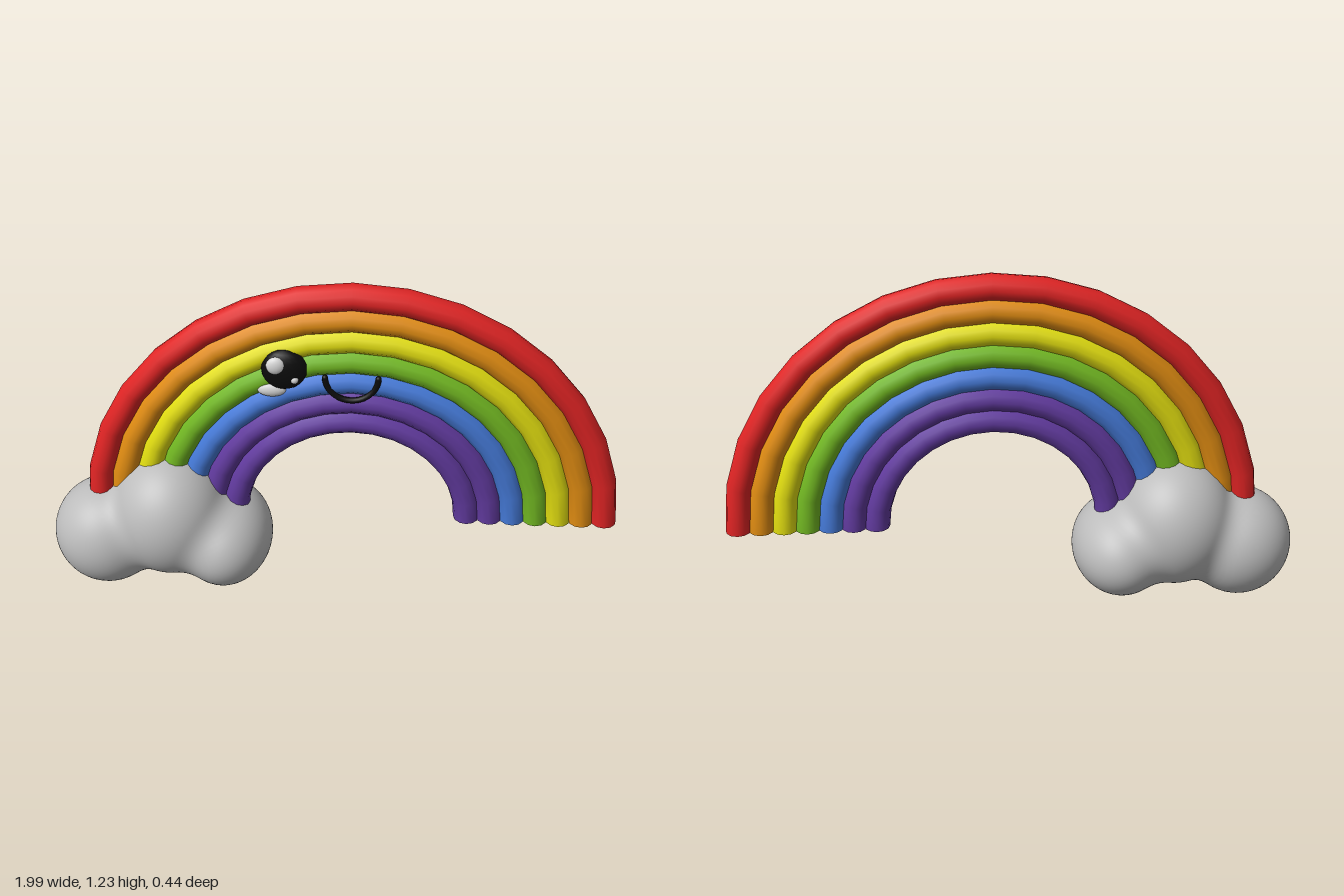
import * as THREE from 'three';
import { mergeVertices } from 'three/addons/utils/BufferGeometryUtils.js';

const ARC_X = 0.06, ARC_Y = 0.305, TUBE = 0.045;

function material(name, color) {
  const m = new THREE.MeshStandardMaterial({ color });
  m.name = name;
  return m;
}

function add(parent, name, geometry, mat, x = 0, y = 0, z = 0) {
  const mesh = new THREE.Mesh(geometry, mat);
  mesh.name = name;
  mesh.position.set(x, y, z);
  parent.add(mesh);
  return mesh;
}

// Flattened ball used for the face details
function ball(parent, name, mat, [x, y, z], [rx, ry, rz]) {
  const mesh = add(parent, name, new THREE.SphereGeometry(1, 18, 12), mat, x, y, z);
  mesh.scale.set(rx, ry, rz);
  return mesh;
}

// Three ellipsoid puffs melted into one smooth skin
function cloudGeometry() {
  const puffs = [
    { c: [-0.81, 0.2, 0], r: [0.19, 0.195, 0.19] },
    { c: [-0.58, 0.295, 0], r: [0.21, 0.235, 0.215] },
    { c: [-0.39, 0.2, 0], r: [0.17, 0.17, 0.222] },
  ];
  const distance = (p) => {
    const k = 0.05;
    let d = Infinity;
    for (const { c, r } of puffs) {
      const q = Math.hypot((p.x - c[0]) / r[0], (p.y - c[1]) / r[1], (p.z - c[2]) / r[2]);
      const e = (q - 1) * Math.min(...r);
      const h = Math.max(k - Math.abs(d - e), 0) / k;
      d = Math.min(d, e) - (Number.isFinite(h) ? h * h * k * 0.25 : 0);
    }
    return d;
  };
  let geo = new THREE.IcosahedronGeometry(1, 20);
  geo.deleteAttribute('uv');
  geo.deleteAttribute('normal');
  geo = mergeVertices(geo, 1e-5);
  const origin = new THREE.Vector3(-0.6, 0.24, 0);
  const pos = geo.attributes.position;
  const dir = new THREE.Vector3(), p = new THREE.Vector3();
  for (let i = 0; i < pos.count; i++) {
    dir.fromBufferAttribute(pos, i).normalize();
    // walk inward from outside until the skin is met
    let t = 0.7;
    for (let n = 0; n < 90; n++) {
      const d = distance(p.copy(origin).addScaledVector(dir, t));
      if (d < 1e-4) break;
      t -= d * 0.7;
    }
    p.copy(origin).addScaledVector(dir, t);
    pos.setXYZ(i, p.x, p.y, p.z);
  }
  geo.computeVertexNormals();
  return geo;
}

export function createModel() {
  const model = new THREE.Group();
  model.name = 'rainbowWithCloud';

  const red = material('red', 0xe02424);
  const orange = material('orange', 0xe08c12);
  const yellow = material('yellow', 0xe2de10);
  const green = material('green', 0x72b822);
  const blue = material('blue', 0x457ad8);
  const purple = material('purple', 0x613a9e);
  const cloudGrey = material('cloudGrey', 0xbcbcbc);
  const black = material('black', 0x0c0c0c);
  const white = material('white', 0xd8d8d8);

  // Nested half-ring bands with closed ends
  const rainbow = new THREE.Group();
  rainbow.name = 'rainbow';
  rainbow.position.set(ARC_X, ARC_Y, 0);
  model.add(rainbow);
  const bands = [red, orange, yellow, green, blue, purple, purple];
  bands.forEach((mat, i) => {
    const radius = 0.885 - i * 0.08;
    add(rainbow, `band${i + 1}`, new THREE.TorusGeometry(radius, TUBE, 12, 16, Math.PI), mat);
    for (const side of [-1, 1]) {
      const cap = new THREE.CircleGeometry(TUBE, 12).rotateX(Math.PI / 2);
      add(rainbow, `band${i + 1}End`, cap, mat, side * radius);
    }
  });

  // Cloud around the foot of the arc
  add(model, 'cloud', cloudGeometry(), cloudGrey);

  // Face
  const face = new THREE.Group();
  face.name = 'face';
  model.add(face);
  ball(face, 'eye', black, [-0.162, 0.933, 0.04], [0.076, 0.075, 0.038]);
  ball(face, 'eyeHighlightLarge', white, [-0.188, 0.961, 0.066], [0.032, 0.032, 0.018]);
  ball(face, 'eyeHighlightSmall', white, [-0.127, 0.908, 0.066], [0.014, 0.014, 0.012]);
  ball(face, 'cheek', white, [-0.205, 0.848, 0.034], [0.05, 0.027, 0.02]);

  // Smile with rounded ends
  const smile = new THREE.TorusGeometry(0.088, 0.01, 8, 20, Math.PI).rotateZ(Math.PI);
  add(face, 'smile', smile, black, ARC_X, 0.905, 0.043);
  for (const side of [-1, 1]) {
    ball(face, 'smileEnd', black, [ARC_X + side * 0.088, 0.905, 0.043], [0.01, 0.01, 0.01]);
  }

  return model;
}
